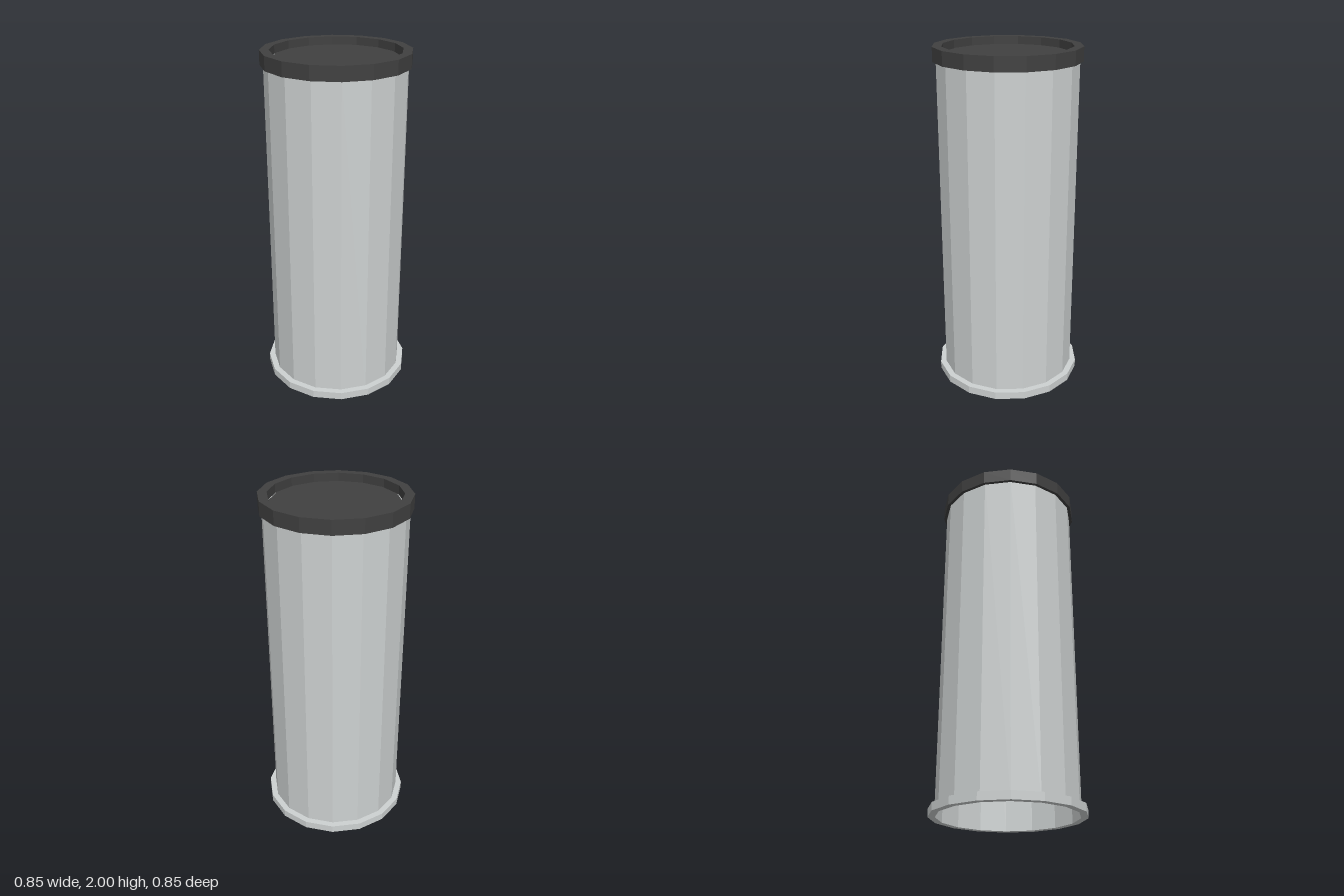
import * as THREE from 'three';

const SIDES = 16;
const HALF = Math.PI / SIDES;

const metal = new THREE.MeshStandardMaterial({ color: 0xcdd1d1 });
metal.name = 'lightGrey';
const rubber = new THREE.MeshStandardMaterial({ color: 0x404040 });
rubber.name = 'charcoal';

// Faceted solid of revolution; profile points are [distance to flat, height], counterclockwise
function turned(name, profile, material) {
  const points = profile.map(([r, y]) => new THREE.Vector2(r / Math.cos(HALF), y));
  const geometry = new THREE.LatheGeometry(points, SIDES, HALF).toNonIndexed();
  geometry.computeVertexNormals();
  const mesh = new THREE.Mesh(geometry, material);
  mesh.name = name;
  return mesh;
}

// Closed rectangular ring
function ring(name, inner, outer, bottom, top, material) {
  return turned(name, [
    [inner, bottom], [outer, bottom], [outer, top], [inner, top], [inner, bottom],
  ], material);
}

export function createModel() {
  const model = new THREE.Group();
  model.name = 'canister';

  // Hollow tube, open below and closed under the lid
  model.add(turned('tube', [
    [0, 1.94], [0.386, 1.94], [0.386, 0], [0.39, 0], [0.39, 1.95], [0, 1.95],
  ], metal));

  // Foot flange
  model.add(ring('footFlange', 0.388, 0.425, 0, 0.045, metal));

  // Lid rim and the recessed disc inside it
  model.add(ring('lidRim', 0.357, 0.408, 1.92, 2, rubber));
  model.add(turned('lidDisc', [[0.348, 1.948], [0.348, 1.956], [0, 1.956]], rubber));

  return model;
}
